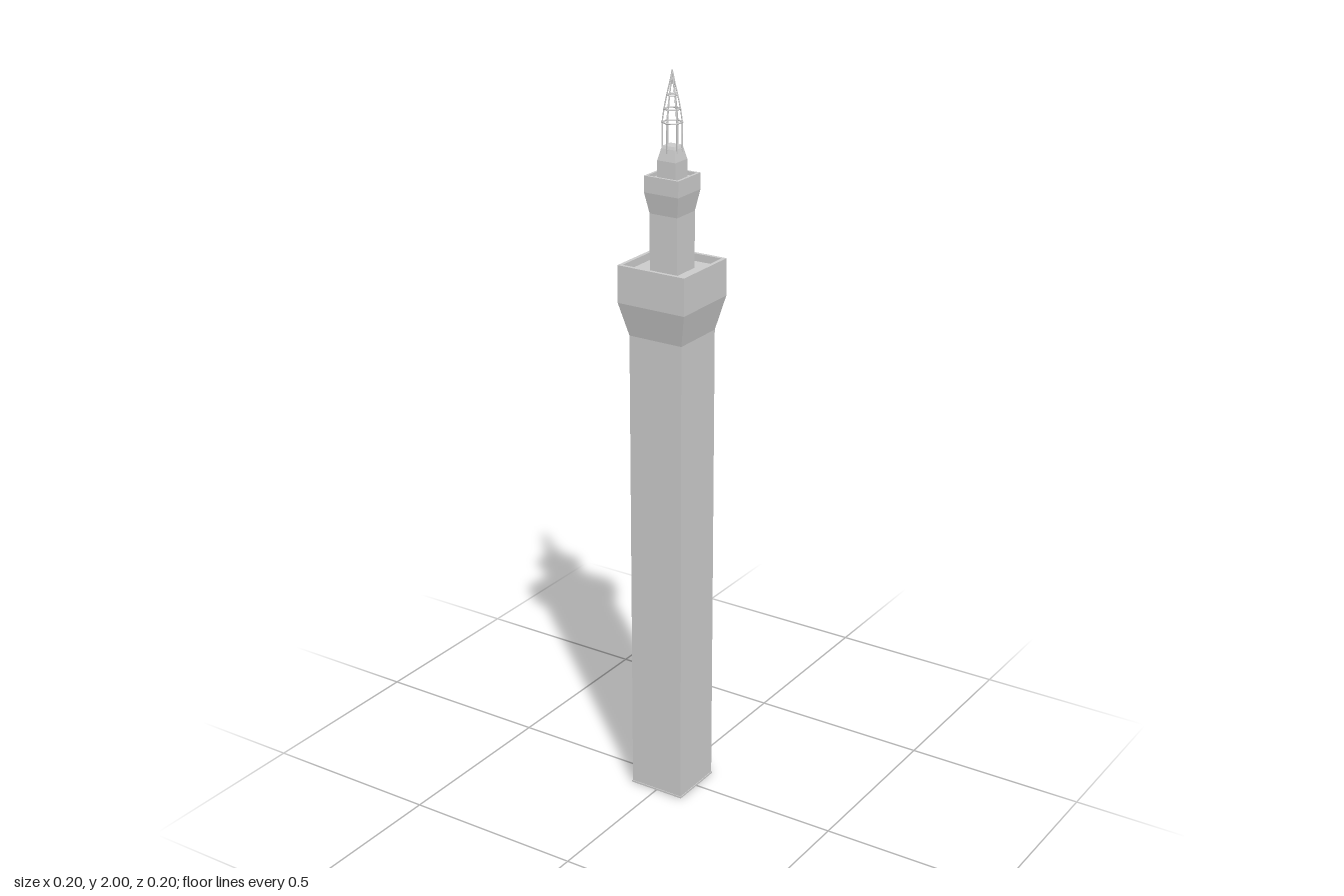
import * as THREE from 'three';

const material = new THREE.MeshStandardMaterial({ color: 0xcccccc, flatShading: true, side: THREE.DoubleSide });

// Square solid from [halfWidth, y] pairs, running from bottom to top
function squareTier(name, profile) {
  const points = profile.map(([half, y]) => new THREE.Vector2(half * Math.SQRT2, y));
  const geometry = new THREE.LatheGeometry(points, 4, Math.PI / 4).toNonIndexed();
  geometry.computeVertexNormals();
  const mesh = new THREE.Mesh(geometry, material);
  mesh.name = name;
  return mesh;
}

// Thin straight bar between two points
function bar(name, a, b, radius) {
  const mesh = new THREE.Mesh(new THREE.CylinderGeometry(radius, radius, a.distanceTo(b), 6), material);
  mesh.position.copy(a).add(b).multiplyScalar(0.5);
  mesh.quaternion.setFromUnitVectors(new THREE.Vector3(0, 1, 0), b.clone().sub(a).normalize());
  mesh.name = name;
  return mesh;
}

export function createModel() {
  const tower = new THREE.Group();
  tower.name = 'tower';

  // Main shaft, flared gallery and sunken terrace
  tower.add(squareTier('plinth', [[0, 0], [0.081, 0], [0.081, 0.005], [0.079, 0.005]]));
  tower.add(squareTier('shaftAndGallery', [
    [0.079, 0.005], [0.079, 1.32], [0.1, 1.41], [0.1, 1.51],
    [0.09, 1.51], [0.09, 1.49], [0, 1.49],
  ]));

  // Upper shaft with its own small gallery
  tower.add(squareTier('upperShaftAndGallery', [
    [0.041, 1.49], [0.041, 1.64], [0.051, 1.695], [0.051, 1.738],
    [0.044, 1.738], [0.044, 1.728], [0, 1.728],
  ]));

  // Stepped, tapering block under the open crown
  tower.add(squareTier('crownBase', [
    [0.027, 1.728], [0.027, 1.775], [0.02, 1.805], [0.017, 1.812], [0, 1.812],
  ]));

  // Open six-sided crown: posts, curved ribs and hoops
  const crown = new THREE.Group();
  crown.name = 'crown';
  const ribProfile = [[0.025, 1.87], [0.02, 1.905], [0.013, 1.94], [0.006, 1.97], [0.001, 1.995]];
  for (let i = 0; i < 6; i++) {
    const angle = (i * Math.PI) / 3;
    const at = (r, y) => new THREE.Vector3(Math.sin(angle) * r, y, Math.cos(angle) * r);
    crown.add(bar('crownPost', at(0.025, 1.795), at(0.025, 1.87), 0.002));
    crown.add(bar('crownFoot', at(0.012, 1.803), at(0.026, 1.803), 0.002));
    const curve = new THREE.CatmullRomCurve3(ribProfile.map(([r, y]) => at(r, y)));
    const rib = new THREE.Mesh(new THREE.TubeGeometry(curve, 12, 0.0016, 6), material);
    rib.name = 'crownRib';
    crown.add(rib);
  }
  for (const [r, y] of [[0.026, 1.87], [0.0205, 1.903], [0.0135, 1.938]]) {
    const hoop = new THREE.Mesh(new THREE.TorusGeometry(r, 0.002, 6, 6), material);
    hoop.rotation.set(Math.PI / 2, 0, Math.PI / 6);
    hoop.position.y = y;
    hoop.name = 'crownHoop';
    crown.add(hoop);
  }
  crown.add(bar('finial', new THREE.Vector3(0, 1.965, 0), new THREE.Vector3(0, 2, 0), 0.0015));
  tower.add(crown);

  return tower;
}
